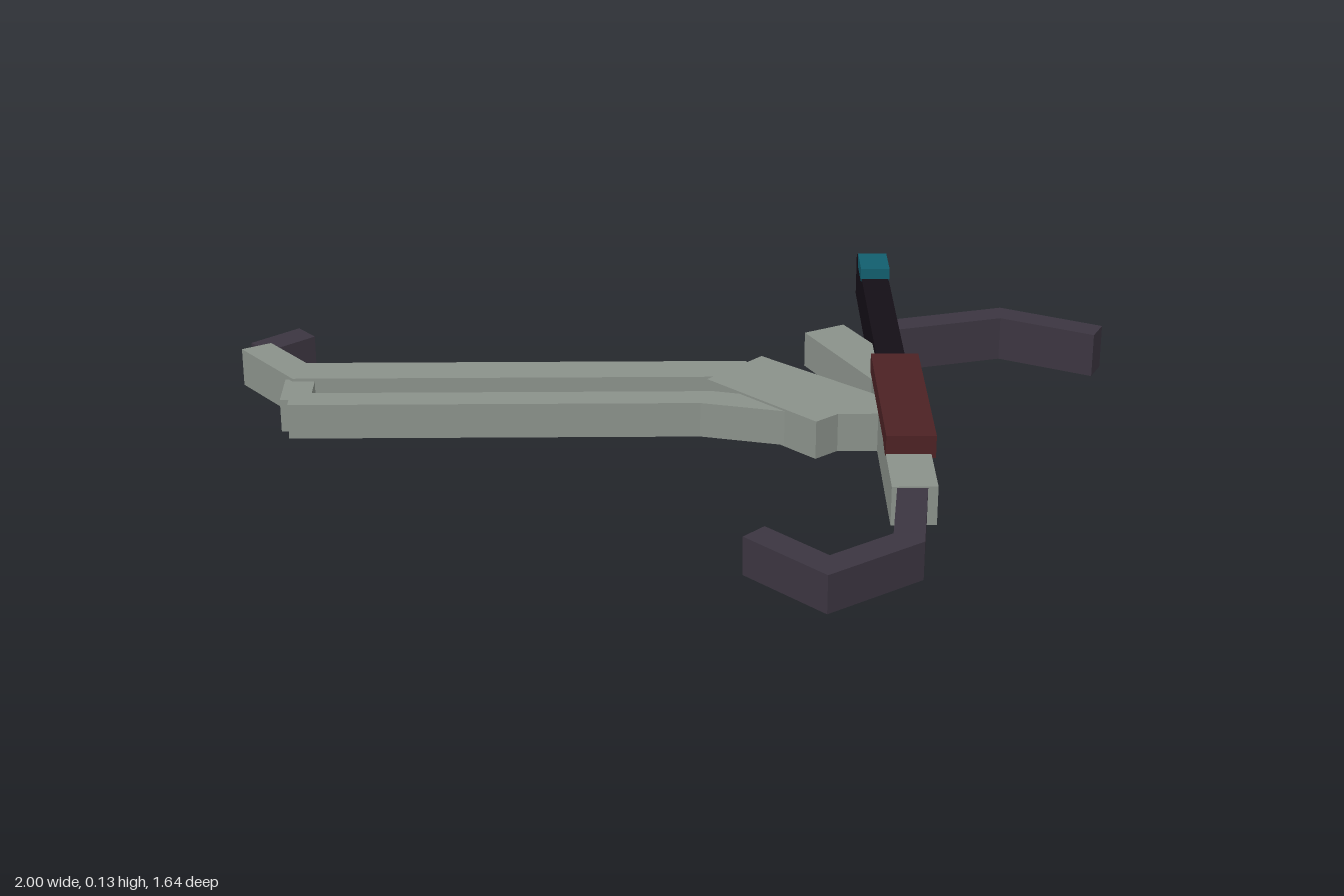
import * as THREE from 'three';

const mat = (color) => new THREE.MeshStandardMaterial({ color, flatShading: true });

export function createModel() {
  const model = new THREE.Group();
  const pale = mat(0x8a918a), dark = mat(0x3b3540), black = mat(0x140e16);
  const red = mat(0x4c2224), teal = mat(0x125e6e);

  // Upright plate from a plan outline of [x, z] points
  function plate(name, points, y0, y1, material) {
    const shape = new THREE.Shape(points.map(([x, z]) => new THREE.Vector2(x, -z)));
    const geo = new THREE.ExtrudeGeometry(shape, { depth: y1 - y0, bevelEnabled: false });
    geo.rotateX(-Math.PI / 2).translate(0, y0, 0);
    const mesh = new THREE.Mesh(geo, material);
    mesh.name = name;
    model.add(mesh);
  }

  // Plate of constant width along a bent path, with mitred corners
  function strip(name, path, width, y0, y1, material) {
    const pts = path.map(([x, z]) => new THREE.Vector2(x, z));
    const normals = pts.slice(1).map((p, i) => {
      const d = p.clone().sub(pts[i]).normalize();
      return new THREE.Vector2(-d.y, d.x);
    });
    const left = [], right = [];
    pts.forEach((p, i) => {
      const a = normals[Math.max(i - 1, 0)], b = normals[Math.min(i, normals.length - 1)];
      const m = a.clone().add(b).normalize();
      m.multiplyScalar(width / 2 / m.dot(a));
      left.push([p.x + m.x, p.y + m.y]);
      right.unshift([p.x - m.x, p.y - m.y]);
    });
    plate(name, [...left, ...right], y0, y1, material);
  }

  const block = (name, x0, x1, z0, z1, y0, y1, material) =>
    plate(name, [[x0, z0], [x1, z0], [x1, z1], [x0, z1]], y0, y1, material);

  // Central bar, with its cover, long rod and marker
  block('centralBar', 0.438, 0.535, -0.145, 0.44, 0, 0.09, pale);
  block('cover', 0.438, 0.545, -0.147, 0.285, 0.08, 0.132, red);
  block('longRod', 0.455, 0.52, -0.82, -0.14, 0, 0.106, black);
  block('marker', 0.453, 0.522, -0.755, -0.655, 0.1, 0.132, teal);

  // Angled spur beside the rod
  plate('angledSpur', [[0.302, -0.37], [0.395, -0.417], [0.538, -0.147], [0.538, -0.08], [0.45, -0.08]],
    0.004, 0.088, pale);

  // Frame reaching out to the side
  plate('diagonalBrace', [[0.195, -0.232], [0.45, -0.01], [0.45, 0.083], [0.35, 0.083], [0.3, 0.122], [0.068, -0.105]],
    0, 0.09, pale);
  plate('backRail', [[-1.0, -0.285], [-0.937, -0.32], [-0.843, -0.205], [0.16, -0.205], [0.16, -0.118], [-0.865, -0.118]],
    0, 0.09, pale);
  block('endLink', -0.882, -0.815, -0.13, -0.02, 0.005, 0.083, pale);
  plate('frontRail', [[-0.862, -0.051], [0.08, -0.051], [0.3, 0.005], [0.3, 0.074], [0.05, 0.012], [-0.862, 0.012]],
    0.003, 0.085, pale);

  // Bent dark arms
  strip('endHook', [[-0.862, -0.39], [-0.963, -0.305]], 0.065, 0.002, 0.086, dark);
  strip('frontArm', [[0.482, 0.435], [0.455, 0.66], [0.287, 0.775], [0.145, 0.63]], 0.064, 0, 0.087, dark);
  strip('sideArm', [[0.5, -0.375], [0.767, -0.445], [0.982, -0.337]], 0.06, 0, 0.104, dark);

  return model;
}
